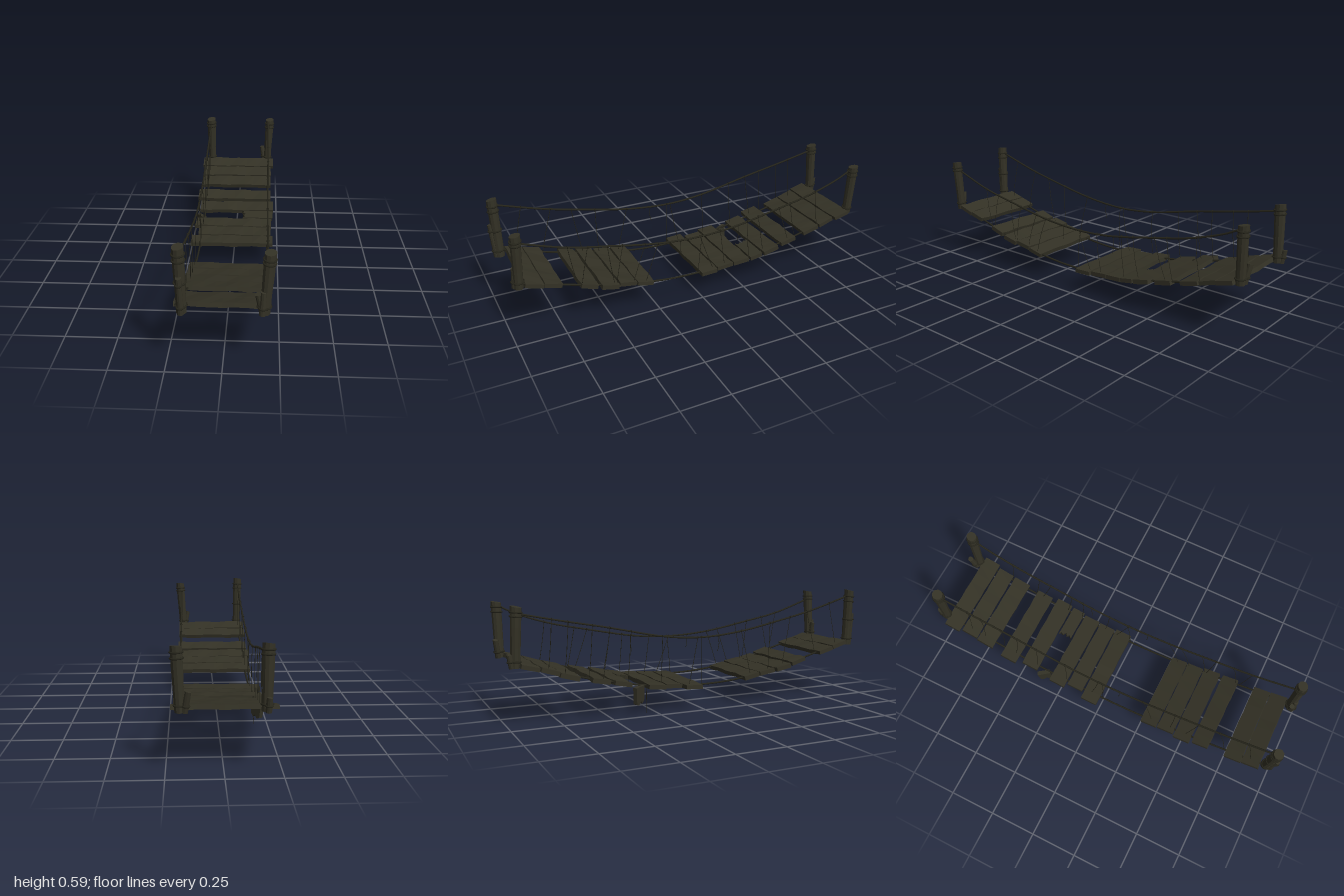
import * as THREE from 'three';

const wood = new THREE.MeshStandardMaterial({ color: 0x333125, flatShading: true });
wood.name = 'weathered wood';
const rope = new THREE.MeshStandardMaterial({ color: 0x26251b });
rope.name = 'dark rope';

const UP = new THREE.Vector3(0, 1, 0);
const V = (p) => new THREE.Vector3(...p);
const LEFT_X = 0.19, RIGHT_X = -0.18;

// Sag profiles as [z, y]
const deckSag = [[-0.95, 0.3], [-0.7, 0.227], [-0.5, 0.18], [-0.3, 0.143], [-0.1, 0.125], [0.07, 0.122],
  [0.23, 0.133], [0.5, 0.18], [0.7, 0.232], [0.95, 0.305]];
const rightRail = [[-0.95, 0.535], [-0.72, 0.488], [-0.5, 0.447], [-0.2, 0.386], [0, 0.37], [0.23, 0.387],
  [0.5, 0.438], [0.7, 0.483], [0.95, 0.556]];
const leftRail = [[-0.95, 0.54], [-0.87, 0.5], [-0.7, 0.443], [-0.5, 0.4], [-0.2, 0.346], [0, 0.335], [0.23, 0.35],
  [0.5, 0.397], [0.7, 0.437], [0.95, 0.518]];

function heightAt(sag, z) {
  let i = 0;
  while (i < sag.length - 2 && z > sag[i + 1][0]) i++;
  const [z0, y0] = sag[i], [z1, y1] = sag[i + 1];
  return y0 + (y1 - y0) * (z - z0) / (z1 - z0);
}

const slopeAt = (z) => (heightAt(deckSag, z + 0.05) - heightAt(deckSag, z - 0.05)) / 0.1;

function add(parent, name, geometry, material) {
  const mesh = new THREE.Mesh(geometry, material);
  mesh.name = name;
  parent.add(mesh);
  return mesh;
}

function cord(parent, name, points, radius, segments = 8, sides = 5) {
  const curve = new THREE.CatmullRomCurve3(points.map(V), false, 'centripetal');
  return add(parent, name, new THREE.TubeGeometry(curve, segments, radius, sides), rope);
}

// Leaning log with rope rings at given heights
function post(parent, name, from, to, r0, r1, ringHeights = []) {
  const a = V(from), dir = V(to).sub(a), length = dir.length();
  const g = new THREE.Group();
  g.name = name;
  g.position.copy(a);
  g.quaternion.setFromUnitVectors(UP, dir.normalize());
  const geo = new THREE.CylinderGeometry(r1, r0, length, 10, 3);
  geo.translate(0, length / 2, 0);
  const p = geo.attributes.position;
  for (let i = 0; i < p.count; i++) {
    // sloping saw cut at the top and slightly uneven sides
    const x = p.getX(i), y = p.getY(i), z = p.getZ(i);
    if (y > length * 0.95) p.setY(i, y - z * 0.18 + x * 0.1);
    else p.setX(i, x * (1 + 0.05 * Math.sin(y * 40 + z * 60)));
  }
  geo.computeVertexNormals();
  add(g, 'log', geo, wood);
  for (const y of ringHeights) {
    const t = (y - from[1]) / (to[1] - from[1]);
    const ring = add(g, 'ropeRing', new THREE.TorusGeometry(r0 + (r1 - r0) * t + 0.001, 0.0045, 6, 16), rope);
    ring.position.y = t * length;
    ring.rotation.x = Math.PI / 2 + 0.06;
  }
  parent.add(g);
}

// Rough board with wavy edges
function plankGeometry(length, height, depth, seed) {
  const geo = new THREE.BoxGeometry(length, height, depth, 8, 1, 1);
  const p = geo.attributes.position;
  for (let i = 0; i < p.count; i++) {
    const x = p.getX(i), y = p.getY(i), z = p.getZ(i);
    p.setY(i, y + 0.0022 * Math.sin(x * 31 + seed * 2.3 + Math.sign(z)) + 0.001 * Math.sin(x * 70 + seed + Math.sign(y)));
    p.setZ(i, z + 0.0015 * Math.sin(x * 43 + seed * 1.7 + Math.sign(z) * 2));
  }
  geo.computeVertexNormals();
  return geo;
}

export function createModel() {
  const model = new THREE.Group();
  model.name = 'ropeBridge';

  // Deck planks: z from, z to, x from, x to
  const planks = [[-0.94, -0.85, -0.23, 0.225], [-0.845, -0.755, -0.215, 0.21], [-0.75, -0.655, -0.22, 0.21],
    [-0.6, -0.507, -0.233, 0.21], [-0.48, -0.387, -0.21, 0.224], [-0.3, -0.21, -0.225, 0.213],
    [-0.2, -0.11, -0.2, 0.21], [-0.1, -0.007, -0.234, 0.22], [0.26, 0.35, -0.21, 0.205],
    [0.357, 0.447, -0.207, 0.203], [0.455, 0.545, -0.22, 0.213], [0.56, 0.65, -0.21, 0.21],
    [0.74, 0.83, -0.215, 0.205], [0.832, 0.922, -0.212, 0.208]];
  planks.forEach(([z0, z1, x0, x1], i) => {
    const z = (z0 + z1) / 2;
    const m = add(model, 'plank', plankGeometry(x1 - x0, 0.022, z1 - z0, i), wood);
    m.position.set((x0 + x1) / 2, heightAt(deckSag, z) - 0.002, z);
    m.rotation.set(-Math.atan(slopeAt(z)), 0.008 * Math.sin(i * 2.1), 0.008 * Math.sin(i * 3.7));
  });

  // Snapped plank: splintered half still in place, other end hanging
  const outline = [[0.22, -0.036], [0.22, 0.036], [0.045, 0.034], [0.06, 0.02], [0.048, 0.008], [0.063, -0.004],
    [0.047, -0.016], [0.053, -0.03], [0.04, -0.038]].map(([x, y]) => new THREE.Vector2(x, y));
  const broken = new THREE.ExtrudeGeometry(new THREE.Shape(outline), { depth: 0.022, bevelEnabled: false });
  broken.translate(0, 0, -0.011).rotateX(Math.PI / 2);
  const half = add(model, 'brokenPlank', broken, wood);
  half.position.set(0, heightAt(deckSag, -0.343) - 0.002, -0.343);
  half.rotation.x = -Math.atan(slopeAt(-0.343));

  const stubOutline = [[-0.034, 0.045], [0.036, 0.045], [0.036, -0.03], [0.018, -0.048], [0.006, -0.034],
    [-0.012, -0.05], [-0.03, -0.042]].map(([x, y]) => new THREE.Vector2(x, y));
  const stub = new THREE.ExtrudeGeometry(new THREE.Shape(stubOutline), { depth: 0.022, bevelEnabled: false });
  stub.translate(0, 0, -0.011);
  const hanging = add(model, 'hangingPlankEnd', stub, wood);
  hanging.position.set(-0.197, 0.1, -0.35);
  hanging.rotation.set(0.1, -0.95, 0.15);

  // Main ropes and hangers on both sides; hangers are [z at deck, z at rail]
  const sides = [
    { x: RIGHT_X, rail: rightRail, hangers: [[-0.8, -0.78], [-0.72, -0.7], [-0.6, -0.58], [-0.53, -0.49], [-0.4, -0.38],
      [-0.22, -0.21], [-0.06, -0.01], [0.01, 0.01], [0.31, 0.25], [0.42, 0.43], [0.51, 0.56], [0.73, 0.67], [0.87, 0.82]] },
    { x: LEFT_X, rail: leftRail, hangers: [[-0.75, -0.72], [-0.56, -0.49], [-0.6, -0.56], [-0.4, -0.36], [-0.31, -0.29],
      [-0.16, -0.13], [-0.09, -0.01], [0.0, -0.02], [0.3, 0.23], [0.37, 0.3], [0.46, 0.42], [0.47, 0.5], [0.64, 0.6], [0.66, 0.7]] },
  ];
  for (const { x, rail, hangers } of sides) {
    cord(model, 'deckRope', deckSag.map(([z, y]) => [x, y, z]), 0.005, 48, 6);
    cord(model, 'handRope', rail.map(([z, y]) => [x, y, z]), 0.005, 48, 6);
    for (const [zb, zt] of hangers) {
      const yb = heightAt(deckSag, zb), yt = heightAt(rail, zt);
      cord(model, 'hanger', [[x, yb, zb], [x + 0.004, (yb + yt) / 2, (zb + zt) / 2 + 0.003], [x, yt, zt]], 0.0016, 4, 4);
      const knot = add(model, 'knot', new THREE.TorusGeometry(0.0055, 0.002, 4, 8), rope);
      knot.position.set(x, yt, zt);
    }
  }

  // Loose ends of snapped hangers
  cord(model, 'looseRope', [[RIGHT_X, 0.143, -0.3], [RIGHT_X - 0.003, 0.07, -0.302], [RIGHT_X, 0, -0.3]], 0.0016, 6, 4);
  cord(model, 'looseRope', [[RIGHT_X, 0.375, 0.11], [RIGHT_X, 0.33, 0.115], [RIGHT_X, 0.29, 0.105]], 0.0016, 4, 4);
  cord(model, 'looseRope', [[LEFT_X, 0.34, 0.1], [LEFT_X, 0.3, 0.103], [LEFT_X, 0.265, 0.1]], 0.0016, 4, 4);
  cord(model, 'looseRope', [[LEFT_X, 0.353, -0.24], [LEFT_X, 0.31, -0.24], [LEFT_X, 0.26, -0.235]], 0.0016, 4, 4);

  // Anchor posts at the four corners
  post(model, 'frontRightPost', [-0.172, 0.275, 0.95], [-0.18, 0.587, 0.96], 0.023, 0.026, [0.31, 0.42, 0.525, 0.553]);
  post(model, 'frontLeftPost', [0.18, 0.275, 0.945], [0.2, 0.56, 0.942], 0.023, 0.026, [0.31, 0.512, 0.53]);
  post(model, 'backRightPost', [-0.176, 0.28, -0.955], [-0.18, 0.565, -0.945], 0.023, 0.027, [0.31, 0.52, 0.54]);
  post(model, 'backLeftPost', [0.185, 0.28, -0.955], [0.198, 0.56, -0.962], 0.023, 0.026, [0.31, 0.51, 0.535]);

  // Short bracing stakes lashed beside the posts
  post(model, 'frontRightStake', [-0.174, 0.275, 0.968], [-0.178, 0.455, 0.983], 0.015, 0.013, [0.31, 0.42]);
  post(model, 'frontLeftStake', [0.17, 0.275, 0.962], [0.176, 0.385, 0.958], 0.015, 0.014, [0.308]);
  post(model, 'frontLeftInnerStake', [0.168, 0.28, 0.945], [0.15, 0.37, 0.95], 0.013, 0.013, [0.31]);
  post(model, 'backRightStake', [-0.18, 0.28, -0.972], [-0.184, 0.345, -0.984], 0.014, 0.013, [0.31]);
  post(model, 'backLeftStake', [0.165, 0.28, -0.965], [0.15, 0.373, -0.98], 0.014, 0.014, [0.31]);

  return model;
}
